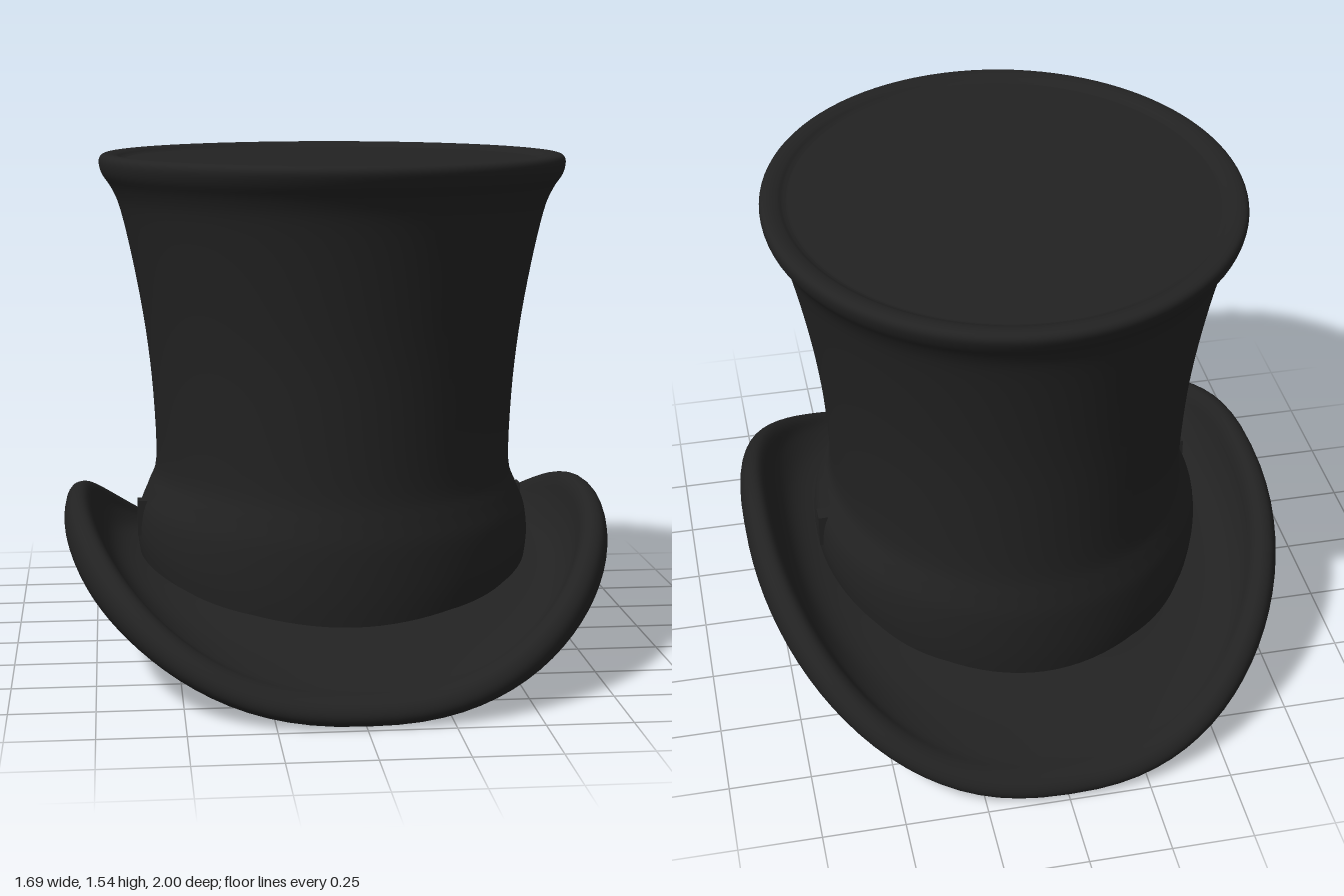
import * as THREE from 'three';

// Lofts a closed ring surface. Each row is [side radius, side height, front radius, front height];
// the height blends from side to front around the ring. power 2 gives an ellipse, more is squarer.
function loft(rows, steps, power, segments = 96) {
  const side = new THREE.SplineCurve(rows.map(r => new THREE.Vector2(r[0], r[1])));
  const front = new THREE.SplineCurve(rows.map(r => new THREE.Vector2(r[2], r[3])));
  const round = v => Math.sign(v) * Math.abs(v) ** (2 / power);
  const positions = [], index = [];
  for (let j = 0; j <= steps; j++) {
    const a = side.getPoint(j / steps), b = front.getPoint(j / steps);
    for (let i = 0; i < segments; i++) {
      const t = (i / segments) * Math.PI * 2;
      const c = round(Math.cos(t)), s = round(Math.sin(t));
      const y = THREE.MathUtils.lerp(a.y, b.y, Math.abs(s) ** 2.1);
      positions.push(Math.max(a.x, 0) * c, y, Math.max(b.x, 0) * s);
      if (j < steps) {
        const p = j * segments + i, q = j * segments + (i + 1) % segments;
        index.push(p, p + segments, q, q, p + segments, q + segments);
      }
    }
  }
  const geometry = new THREE.BufferGeometry();
  geometry.setAttribute('position', new THREE.Float32BufferAttribute(positions, 3));
  geometry.setIndex(index);
  geometry.computeVertexNormals();
  return geometry;
}

// Row at a constant height
const level = (rx, rz, y) => [rx, y, rz, y];

export function createModel() {
  const hat = new THREE.Group();
  hat.name = 'topHat';
  const felt = new THREE.MeshStandardMaterial({ color: 0x222222 });
  felt.name = 'blackFelt';
  const satin = new THREE.MeshStandardMaterial({ color: 0xe2e2e2 });
  satin.name = 'whiteSatin';

  const add = (name, geometry, material) => {
    const mesh = new THREE.Mesh(geometry, material);
    mesh.name = name;
    hat.add(mesh);
    return mesh;
  };

  // Brim: from the head opening, out along the underside, round the lip and back to the crown
  add('brim', loft([
    [0.54, 0.18, 0.62, 0.11],
    [0.63, 0.185, 0.70, 0.085],
    [0.72, 0.22, 0.80, 0.05],
    [0.80, 0.29, 0.89, 0.02],
    [0.84, 0.38, 0.95, 0.002],
    [0.843, 0.44, 0.99, 0.015],
    [0.825, 0.485, 1.0, 0.04],
    [0.79, 0.495, 0.985, 0.068],
    [0.763, 0.47, 0.95, 0.085],
    [0.74, 0.41, 0.90, 0.093],
    [0.70, 0.345, 0.80, 0.13],
    [0.65, 0.31, 0.71, 0.17],
    [0.57, 0.29, 0.62, 0.21],
  ], 48, 2.4), felt);

  // Crown: slightly wider band at the base, waisted wall, flared rim
  add('crown', loft([
    [0.60, 0.25, 0.64, 0.16],
    [0.615, 0.35, 0.65, 0.28],
    [0.607, 0.44, 0.65, 0.42],
    [0.58, 0.51, 0.64, 0.50],
    level(0.555, 0.63, 0.59),
    level(0.562, 0.634, 0.80),
    level(0.583, 0.645, 1.00),
    level(0.617, 0.67, 1.20),
    level(0.655, 0.70, 1.37),
    level(0.683, 0.725, 1.44),
    level(0.712, 0.755, 1.485),
    level(0.72, 0.77, 1.52),
    level(0.712, 0.763, 1.54),
    level(0.69, 0.74, 1.545),
    level(0.665, 0.715, 1.54),
    level(0.645, 0.695, 1.53),
    level(0.60, 0.65, 1.528),
    level(0.30, 0.33, 1.528),
    level(0, 0, 1.528),
  ], 72, 2), felt);

  // Lining: ceiling, then inner wall down to the head opening
  add('lining', loft([
    level(0, 0, 1.49),
    level(0.55, 0.62, 1.49),
    level(0.63, 0.68, 1.47),
    level(0.63, 0.68, 1.38),
    level(0.59, 0.645, 1.20),
    level(0.55, 0.62, 0.95),
    level(0.53, 0.61, 0.65),
    [0.53, 0.40, 0.61, 0.35],
    [0.54, 0.18, 0.62, 0.11],
  ], 48, 2.2), satin);

  // Small fabric tabs on the two sides of the band
  for (const s of [1, -1]) {
    const tab = add('bandTab', new THREE.BoxGeometry(0.03, 0.11, 0.05), felt);
    tab.position.set(s * 0.602, 0.42, -s * 0.08);
  }
  return hat;
}
